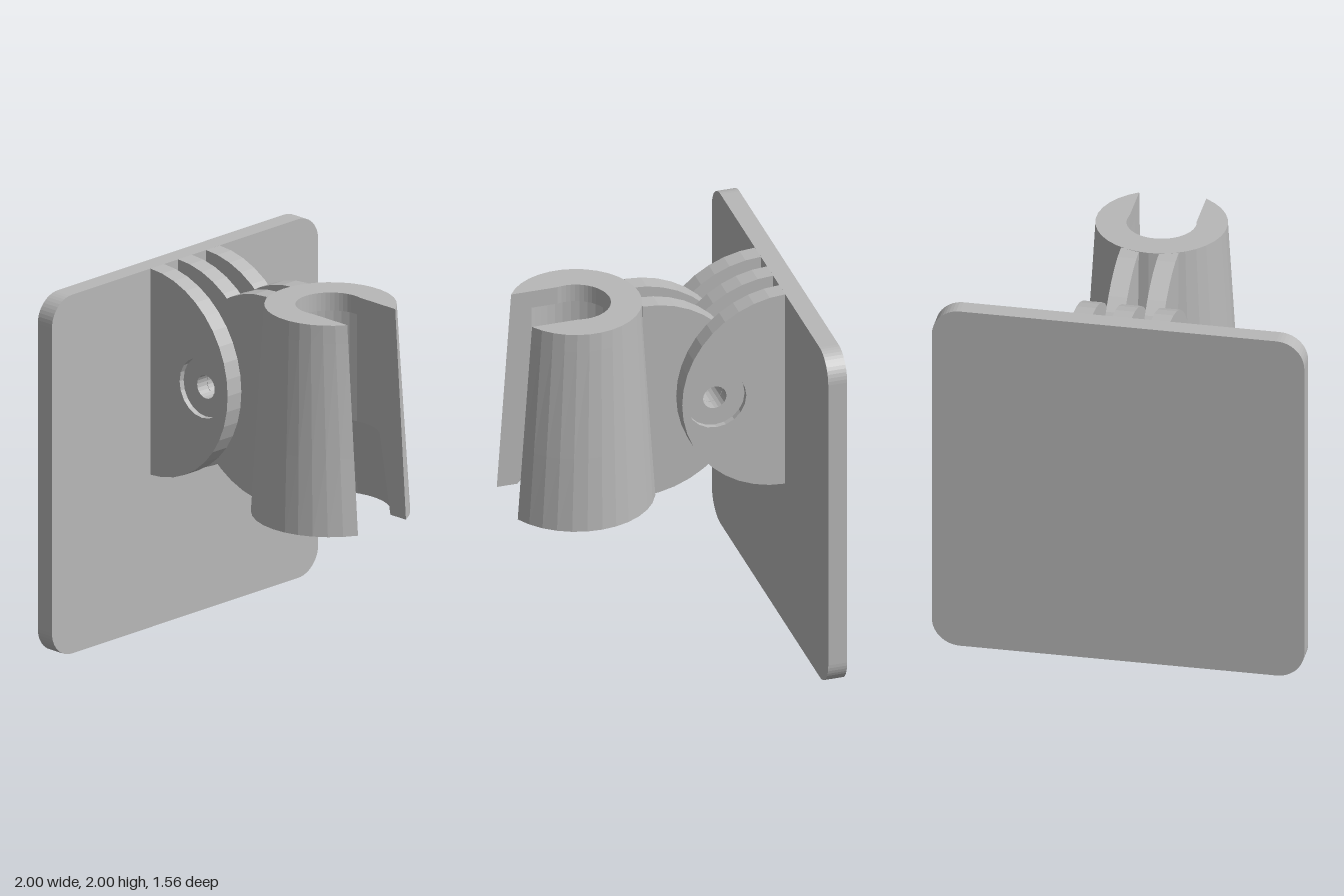
import * as THREE from 'three';

const PIVOT = { z: -0.295, y: 1.425 };
const LUG_RADIUS = 0.575;

// Back plate: rounded square
function plateGeometry() {
  const r = 0.15, c = 1 - r;
  const s = new THREE.Shape();
  s.absarc(c, c, r, 0, Math.PI / 2);
  s.absarc(-c, c, r, Math.PI / 2, Math.PI);
  s.absarc(-c, -c, r, Math.PI, Math.PI * 1.5);
  s.absarc(c, -c, r, Math.PI * 1.5, Math.PI * 2);
  const g = new THREE.ExtrudeGeometry(s, { depth: 0.105, bevelEnabled: false, curveSegments: 6 });
  return g.translate(0, 1, -0.78);
}

// Half-disc hinge lug with a pivot hole, drawn in (z, y) and extruded along x
function lugGeometry(x0, x1, centreZ, start, holeRadius) {
  const s = new THREE.Shape();
  s.absarc(centreZ, PIVOT.y, LUG_RADIUS, start, start + Math.PI, false);
  s.closePath();
  const hole = new THREE.Path();
  hole.absarc(PIVOT.z, PIVOT.y, holeRadius, 0, Math.PI * 2, true);
  s.holes.push(hole);
  const g = new THREE.ExtrudeGeometry(s, { depth: x1 - x0, bevelEnabled: false, curveSegments: 10 });
  return g.rotateY(-Math.PI / 2).translate(x1, 0, 0);
}

// Tapered C-shaped socket, lofted through levels of [y, outer radius, inner radius]
function socketGeometry() {
  const levels = [
    [0.845, 0.42, 0.32], [1.27, 0.394, 0.26], [1.9, 0.356, 0.26],
    [1.9, 0.356, 0.185], [2, 0.35, 0.185],
  ];
  const N = 28, slot = 0.18, centreZ = 0.4, ring = 2 * (N + 1);
  const pos = [], idx = [];
  for (const [y, outer, inner] of levels) {
    for (let k = 0; k < ring; k++) {
      const r = k <= N ? outer : inner;
      const i = k <= N ? k : ring - 1 - k;
      const a = Math.asin(slot / r);
      const t = a + (i / N) * 2 * (Math.PI - a);
      pos.push(r * Math.sin(t), y, centreZ + r * Math.cos(t));
    }
  }
  const quad = (a, b, c, d) => idx.push(a, b, c, a, c, d);
  for (let l = 0; l < levels.length - 1; l++) {
    const ledge = levels[l][0] === levels[l + 1][0];
    for (let k = 0; k < ring; k++) {
      if (ledge && (k <= N || k === ring - 1)) continue;
      const n = (k + 1) % ring, b = l * ring, t = b + ring;
      quad(b + k, b + n, t + n, t + k);
    }
  }
  // End rims
  const top = (levels.length - 1) * ring;
  for (let i = 0; i < N; i++) {
    const j = ring - 1 - i;
    quad(top + i, top + i + 1, top + j - 1, top + j);
    quad(j, j - 1, i + 1, i);
  }
  const g = new THREE.BufferGeometry();
  g.setAttribute('position', new THREE.Float32BufferAttribute(pos, 3));
  g.setIndex(idx);
  const flat = g.toNonIndexed();
  flat.computeVertexNormals();
  return flat;
}

export function createModel() {
  const grey = new THREE.MeshStandardMaterial({ color: 0xb8b8b8 });
  grey.name = 'grey plastic';
  const model = new THREE.Group();
  model.name = 'wallBracket';
  const add = (name, geometry, parent = model) => {
    const m = new THREE.Mesh(geometry, grey);
    m.name = name;
    parent.add(m);
  };

  add('backPlate', plateGeometry());
  add('socket', socketGeometry());

  // Fixed lugs on the plate; the outer pair has a shallow counterbore
  const fixed = new THREE.Group();
  fixed.name = 'plateLugs';
  const plateLug = (name, x0, x1, hole) =>
    add(name, lugGeometry(x0, x1, -0.68, -Math.PI / 2, hole), fixed);
  plateLug('middleLug', -0.052, 0.052, 0.065);
  plateLug('leftLug', 0.157, 0.23, 0.065);
  plateLug('leftCounterbore', 0.23, 0.26, 0.165);
  plateLug('rightLug', -0.23, -0.157, 0.065);
  plateLug('rightCounterbore', -0.26, -0.23, 0.165);
  model.add(fixed);

  // Swinging lugs on the socket
  const moving = new THREE.Group();
  moving.name = 'socketLugs';
  for (const [name, x0] of [['leftSocketLug', 0.054], ['rightSocketLug', -0.155]])
    add(name, lugGeometry(x0, x0 + 0.101, 0.08, Math.PI / 2, 0.065), moving);
  model.add(moving);

  return model;
}
